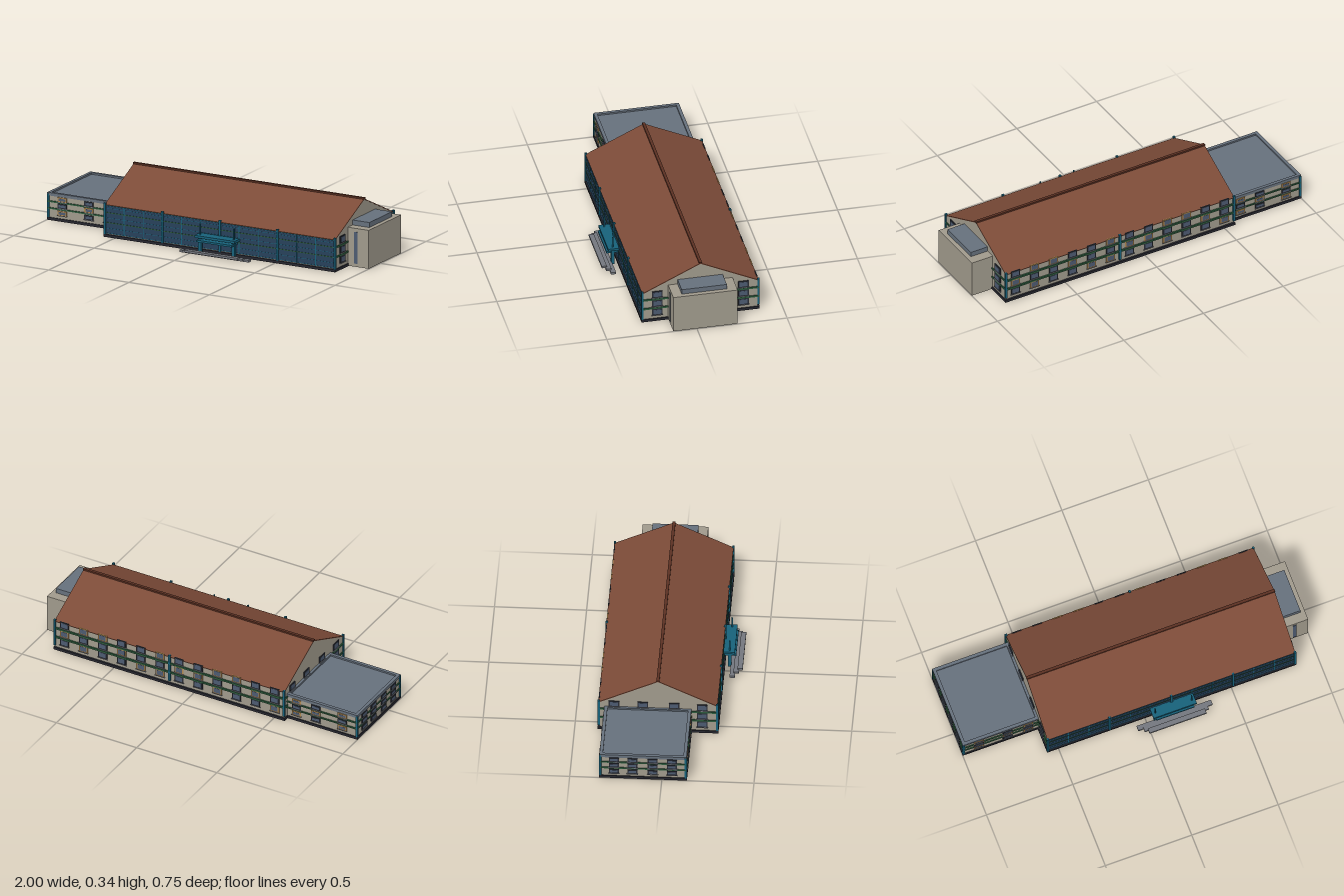
import * as THREE from 'three';

const mat = (color) => new THREE.MeshStandardMaterial({ color });
const M = {
  wall: mat(0xa09a8c), roof: mat(0x7c4b38), ridge: mat(0x5a3022), base: mat(0x25262e),
  teal: mat(0x17617a), green: mat(0x2c5a3c), glass: mat(0x27405a), frame: mat(0x2a2d36),
  pane: mat(0x4c5a70), tan: mat(0xb08850), slate: mat(0x66707c), stone: mat(0x74777e),
};

// Hall, wing and annex extents
const HALL = { x0: -0.56, x1: 0.87, z0: -0.365, z1: 0.27, eave: 0.183, ridge: 0.333, mid: -0.048 };
const WING = { x0: -0.995, x1: -0.56, z0: -0.335, z1: 0.13, top: 0.148 };
const ANNEX = { x0: 0.87, x1: 1, z0: -0.226, z1: 0.131, top: 0.22 };

export function createModel() {
  const model = new THREE.Group();

  // Box given by its minimum and maximum corners
  function box(name, m, x0, x1, y0, y1, z0, z1, parent = model) {
    const mesh = new THREE.Mesh(new THREE.BoxGeometry(x1 - x0, y1 - y0, z1 - z0), m);
    mesh.position.set((x0 + x1) / 2, (y0 + y1) / 2, (z0 + z1) / 2);
    mesh.name = name;
    parent.add(mesh);
    return mesh;
  }

  // Framed window with a sill, built facing +z and turned to its wall
  function windowUnit(x, y, z, turn, w, h, frame = M.frame) {
    const g = new THREE.Group();
    g.name = 'window';
    box('windowFrame', frame, -w / 2, w / 2, -h / 2, h / 2, -0.002, 0.003, g);
    box('windowPane', M.pane, -w / 2 + 0.007, w / 2 - 0.007, -h / 2 + 0.006, h / 2 - 0.006, 0, 0.004, g);
    box('windowSill', M.stone, -w / 2 - 0.003, w / 2 + 0.003, -h / 2 - 0.003, -h / 2 + 0.001, 0, 0.006, g);
    g.position.set(x, y, z);
    g.rotation.y = turn;
    model.add(g);
  }

  function post(x, z, y0, y1, r = 0.006) {
    box('post', M.teal, x - r, x + r, y0, y1, z - r, z + r);
  }

  // Main hall with gable ends
  const { x0, x1, z0, z1, eave, ridge, mid } = HALL;
  const gable = new THREE.Shape([[-z1, 0.012], [-z0, 0.012], [-z0, eave], [-mid, ridge], [-z1, eave]]
    .map(([a, b]) => new THREE.Vector2(a, b)));
  const hall = new THREE.Mesh(new THREE.ExtrudeGeometry(gable, { depth: x1 - x0, bevelEnabled: false }), M.wall);
  hall.rotation.y = Math.PI / 2;
  hall.position.x = x0;
  hall.name = 'hall';
  model.add(hall);
  box('hallPlinth', M.base, x0 - 0.006, x1 + 0.006, 0.003, 0.018, z0 - 0.01, z1 + 0.01);

  // Roof slopes and ridge cap
  for (const edge of [z0 - 0.006, z1 + 0.004]) {
    const run = Math.abs(edge - mid), rise = ridge - eave + 0.003;
    const slope = new THREE.Mesh(new THREE.BoxGeometry(x1 - x0 + 0.004, 0.004, Math.hypot(run, rise)), M.roof);
    slope.position.set((x0 + x1) / 2, ridge + 0.002 - rise / 2, (edge + mid) / 2);
    slope.rotation.x = Math.sign(edge - mid) * Math.atan2(rise, run);
    slope.name = 'roofSlope';
    model.add(slope);
  }
  box('ridgeCap', M.ridge, x0 - 0.004, x1 + 0.004, 0.334, 0.343, mid - 0.008, mid + 0.008);

  // Glazed front with mullions, rails and posts
  box('frontGlazing', M.glass, x0 + 0.004, x1 - 0.004, 0.022, 0.178, z1 - 0.004, z1 + 0.003);
  for (let i = 0; i <= 12; i++) {
    const x = x0 + (x1 - x0) * i / 12;
    box('mullion', M.teal, x - 0.002, x + 0.002, 0.022, 0.18, z1, z1 + 0.005);
  }
  for (const y of [0.025, 0.0525, 0.11, 0.165, 0.178])
    box('glazingRail', M.teal, x0, x1, y - 0.001, y + 0.001, z1, z1 + 0.004);
  for (let i = 0; i <= 4; i++) post(x0 + (x1 - x0) * i / 4, z1 + 0.004, 0.018, 0.194);
  for (let i = 0; i <= 2; i++) post(x0 + (x1 - x0) * i / 2, z0 - 0.004, 0.03, 0.194);

  // Green bands round the hall
  for (const y of [0.084, 0.14]) {
    box('frontBand', M.green, x0, x1, y - 0.002, y + 0.002, z1, z1 + 0.006);
    box('backBand', M.green, x0, x1, y - 0.005, y + 0.005, z0 - 0.009, z0);
    for (const x of [x0, x1]) box('endBand', M.green, x - 0.006, x + 0.006, y - 0.005, y + 0.005, z0 - 0.009, z1 + 0.004);
  }

  // Hall windows: three rows on the back and both gable ends
  [0.06, 0.115, 0.171].forEach((y, row) => {
    for (let i = 0; i < 12; i++) {
      const lit = (i * 5 + row * 3) % 7 < 3;
      windowUnit(x0 + (x1 - x0) * (i + 0.5) / 12, y, z0 - 0.003, Math.PI, 0.055, 0.04, lit ? M.tan : M.frame);
    }
    for (const z of [0.193, -0.286]) windowUnit(x1 + 0.003, y, z, Math.PI / 2, 0.058, 0.04);
    windowUnit(x0 - 0.003, y, 0.193, -Math.PI / 2, 0.058, 0.04);
  });
  for (const z of [-0.286, -0.13, 0.04]) windowUnit(x0 - 0.003, 0.177, z, -Math.PI / 2, 0.058, 0.036);

  // Low wing with a parapet round its flat roof
  const W = WING;
  box('wing', M.wall, W.x0, W.x1, 0.012, W.top - 0.005, W.z0, W.z1);
  box('wingPlinth', M.base, W.x0 - 0.005, W.x1, 0.003, 0.018, W.z0 - 0.006, W.z1 + 0.006);
  box('wingRoof', M.slate, W.x0, W.x1, W.top - 0.006, W.top, W.z0, W.z1);
  for (const [a, b, c, d] of [
    [W.x0 - 0.004, W.x0 + 0.014, W.z0 - 0.004, W.z1 + 0.004], [W.x1 - 0.014, W.x1, W.z0, W.z1],
    [W.x0, W.x1, W.z0 - 0.004, W.z0 + 0.014], [W.x0, W.x1, W.z1 - 0.014, W.z1 + 0.004],
  ]) box('parapet', M.slate, a, b, W.top - 0.008, W.top + 0.009, c, d);
  for (const y of [0.07, 0.108]) {
    for (const z of [W.z0, W.z1]) box('wingBand', M.green, W.x0, W.x1, y - 0.004, y + 0.004, z - 0.006, z + 0.006);
    box('wingEndBand', M.green, W.x0 - 0.005, W.x0, y - 0.004, y + 0.004, W.z0, W.z1);
  }
  for (const z of [W.z0, W.z1]) post(W.x0 + 0.001, z, 0.018, 0.15);
  [0.049, 0.089, 0.125].forEach((y, row) => {
    [-0.905, -0.74, -0.62].forEach((x, i) => {
      const m = (i + row) % 2 ? M.frame : M.tan;
      windowUnit(x, y, W.z1 + 0.003, 0, 0.055, 0.026, m);
      windowUnit(x, y, W.z0 - 0.003, Math.PI, 0.055, 0.026, m);
    });
    for (const z of [-0.26, -0.16, -0.05, 0.055]) windowUnit(W.x0 - 0.003, y, z, -Math.PI / 2, 0.055, 0.026);
  });

  // Stair annex with a raised roof light and a tall slit window
  const A = ANNEX;
  box('annex', M.wall, A.x0, A.x1, 0.004, A.top, A.z0, A.z1);
  box('annexRoofLight', M.slate, A.x0, 0.975, A.top, 0.248, -0.171, 0.079);
  box('annexSlit', M.pane, 0.911, 0.931, 0.022, 0.2, A.z1 - 0.002, A.z1 + 0.003);

  // Entrance canopy on columns
  box('canopyTop', M.teal, 0.03, 0.28, 0.094, 0.107, z1, 0.333);
  box('canopyLower', M.teal, 0.045, 0.265, 0.073, 0.084, z1, 0.34);
  for (const x of [0.05, 0.26]) {
    box('canopyColumn', M.teal, x - 0.009, x + 0.009, 0.003, 0.096, 0.296, 0.314);
    box('canopyMast', M.teal, x - 0.003, x + 0.003, 0.1, 0.169, 0.301, 0.309);
  }

  // Entrance steps
  [[0.215, 0.002, 0.31, 0.338], [0.185, 0.009, 0.329, 0.358], [0.165, 0.017, 0.35, 0.378]]
    .forEach(([w, y, a, b]) => box('step', M.stone, 0.155 - w, 0.155 + w, y, y + 0.012, a, b));

  // Rest on the ground, centred front to back
  model.traverse((o) => { if (o.isMesh) o.updateMatrix(); });
  const bounds = new THREE.Box3().setFromObject(model);
  for (const part of model.children) part.position.y -= bounds.min.y;
  return model;
}
